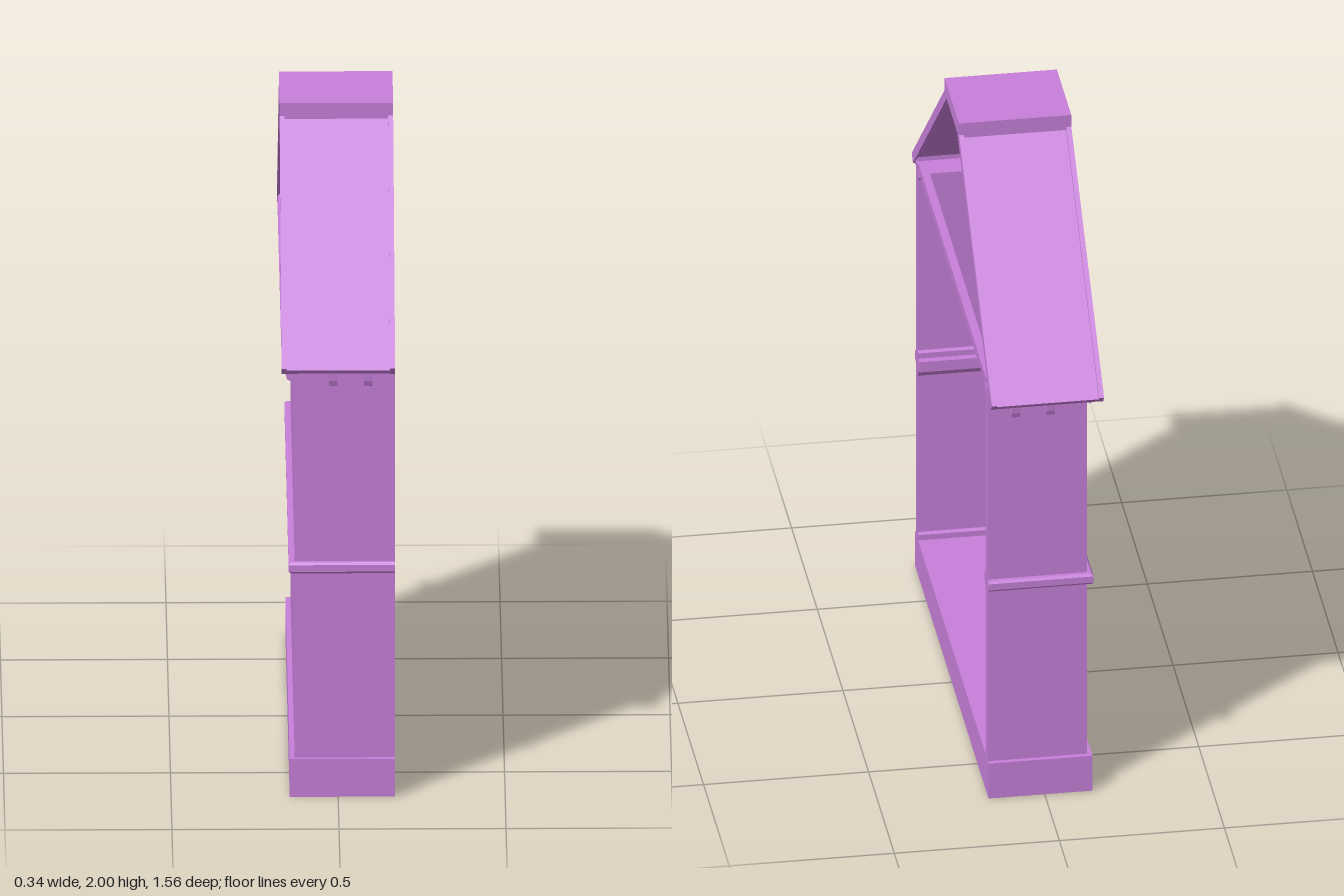
import * as THREE from 'three';

const material = new THREE.MeshStandardMaterial({ color: 0xc77fda, flatShading: true });

export function createModel() {
  const model = new THREE.Group();
  model.name = 'openHouse';

  const add = (name, geometry) => {
    const mesh = new THREE.Mesh(geometry, material);
    mesh.name = name;
    model.add(mesh);
    return mesh;
  };

  const box = (name, x0, x1, y0, y1, z0, z1) => {
    const g = new THREE.BoxGeometry(x1 - x0, y1 - y0, z1 - z0);
    g.translate((x0 + x1) / 2, (y0 + y1) / 2, (z0 + z1) / 2);
    return add(name, g);
  };

  // A (z, y) outline extruded across x
  const slabGeometry = (points, x0, x1) => {
    const shape = new THREE.Shape(points.map(([z, y]) => new THREE.Vector2(z, y)));
    const g = new THREE.ExtrudeGeometry(shape, { depth: x1 - x0, bevelEnabled: false });
    return g.rotateY(-Math.PI / 2).translate(x1, 0, 0);
  };
  const slab = (name, points, x0, x1) => add(name, slabGeometry(points, x0, x1));

  // Mitred moulding round three walls; profile is counter-clockwise (inward distance, y)
  const moulding = (name, profile, xBack, zSide, xFront = 0.17) => {
    const rings = [[1, 0], [1, 1], [-1, 1], [-1, 0]].map(([s, atBack]) =>
      profile.map(([d, y]) => [atBack ? xBack + d : xFront, y, s * (zSide - d)]));
    const pos = [];
    const tri = (a, b, c) => pos.push(...a, ...b, ...c);
    const n = profile.length;
    for (let r = 0; r < 3; r++) {
      for (let i = 0; i < n; i++) {
        const j = (i + 1) % n;
        const [a, b, c, d] = [rings[r][i], rings[r + 1][i], rings[r + 1][j], rings[r][j]];
        tri(a, b, c);
        tri(a, c, d);
      }
    }
    for (let i = 1; i < n - 1; i++) {
      tri(rings[0][0], rings[0][i], rings[0][i + 1]);
      tri(rings[3][0], rings[3][i + 1], rings[3][i]);
    }
    const g = new THREE.BufferGeometry();
    g.setAttribute('position', new THREE.Float32BufferAttribute(pos, 3));
    g.computeVertexNormals();
    return add(name, g);
  };

  // Hollow plinth and ground floor
  box('floor', -0.14, 0.17, 0.1, 0.12, -0.715, 0.715);
  box('plinthBack', -0.145, -0.13, 0, 0.12, -0.715, 0.715);
  box('plinthFront', 0.155, 0.17, 0, 0.1, -0.715, 0.715);
  for (const s of [-1, 1]) {
    box('plinthEnd', -0.13, 0.155, 0, 0.1, s * 0.7075 - 0.0075, s * 0.7075 + 0.0075);
    // End walls
    box('endWall', -0.13, 0.17, 0.12, 1.405, s * 0.6825 - 0.0175, s * 0.6825 + 0.0175);
  }

  // Back wall rising into the gable
  slab('backWall', [[-0.67, 0.12], [0.67, 0.12], [0.67, 1.44], [0.12, 1.945],
    [-0.12, 1.945], [-0.67, 1.44]], -0.13, -0.11);

  // Inner mouldings: skirtings, storey ledge and coved cornices
  const skirting = (y) => [[0, y], [0.008, y], [0.008, y + 0.018], [0.003, y + 0.025], [0, y + 0.025]];
  const cornice = (y, d) => [[0, y], [0.4 * d, y + 0.008], [d, y + 0.027], [d, y + 0.03], [0, y + 0.03]];
  moulding('lowerSkirting', skirting(0.12), -0.11, 0.665);
  moulding('lowerCornice', cornice(0.682, 0.02), -0.11, 0.665);
  moulding('storeyLedge', [[0, 0.71], [0.03, 0.71], [0.03, 0.745], [0, 0.745]], -0.11, 0.665);
  moulding('upperSkirting', skirting(0.745), -0.11, 0.665);
  moulding('upperCornice', cornice(1.355, 0.035), -0.11, 0.665);

  // Outer string course with a rounded edge
  moulding('stringCourse', [[0, 0.745], [-0.012, 0.745], [-0.018, 0.738], [-0.018, 0.717],
    [-0.012, 0.71], [0, 0.71]], -0.13, 0.7);

  // Attic floor framing a long opening
  box('atticFloorBack', -0.11, -0.06, 1.385, 1.42, -0.665, 0.665);
  box('atticFloorFront', 0.145, 0.17, 1.39, 1.42, -0.665, 0.665);
  for (const s of [-1, 1]) {
    box('atticFloorEnd', -0.06, 0.145, 1.385, 1.42, s * 0.625 - 0.04, s * 0.625 + 0.04);
    // Soffit under the eave
    slab('soffit', [[0.69, 1.365], [0.75, 1.365], [0.735, 1.385], [0.69, 1.42]]
      .map(([z, y]) => [s * z, y]), -0.16, 0.165);
  }

  // Roof: recessed panels between raised verge strips
  const slope = Math.atan2(0.575, 0.64);
  const offset = (z, y, d) => [z - d * Math.sin(slope), y - d * Math.cos(slope)];
  const roofSide = (s, d0, d1) => [offset(0.78, 1.385, d0), offset(0.12, 1.978, d0),
    offset(0.12, 1.978, d1), offset(0.78, 1.385, d1)].map(([z, y]) => [s * z, y]);
  for (const s of [-1, 1]) {
    slab('roofPanel', roofSide(s, 0.01, 0.03), -0.155, 0.155);
    for (const x of [-0.17, 0.155]) slab('roofVerge', roofSide(s, 0, 0.032), x, x + 0.015);
  }
  box('ridgeCap', -0.17, 0.17, 1.95, 2, -0.14, 0.14);

  // Rounded eave rail along the back
  slab('backEaveRail', [[-0.7, 1.385], [0.7, 1.385], [0.7, 1.41], [-0.7, 1.41]], -0.16, -0.13);
  const bead = new THREE.CylinderGeometry(0.013, 0.013, 1.4, 10);
  add('backEaveBead', bead.rotateX(Math.PI / 2).translate(-0.157, 1.397, 0));

  // Corbels under the eaves
  const corbelGeometry = slabGeometry([[-0.002, 1.39], [-0.002, 1.335], [0.006, 1.314], [0.018, 1.308],
    [0.03, 1.313], [0.036, 1.33], [0.04, 1.39]], -0.013, 0.013);
  const corbel = (x, z, turn, depth = 1) => {
    const mesh = add('corbel', corbelGeometry);
    mesh.position.set(x, 0, z);
    mesh.rotation.y = turn;
    mesh.scale.z = depth;
  };
  for (const x of [-0.015, 0.09]) {
    corbel(x, 0.7, 0);
    corbel(x, -0.7, Math.PI);
  }
  for (let i = 0; i < 12; i++) corbel(-0.13, -0.66 + i * 0.12, -Math.PI / 2, 0.75);

  return model;
}
